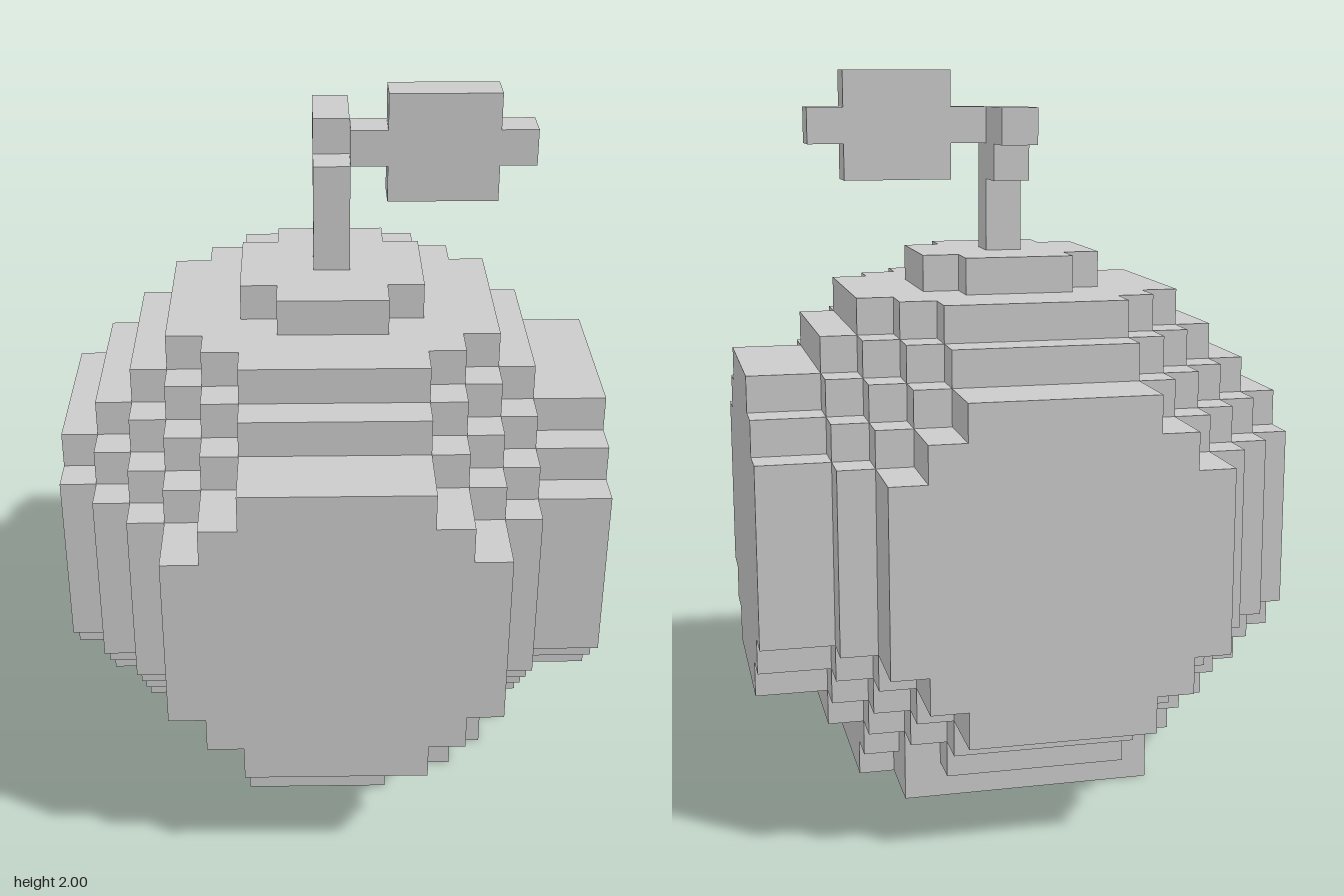
import * as THREE from 'three';
import { mergeGeometries } from 'three/addons/utils/BufferGeometryUtils.js';

const V = 0.1; // voxel size
const R = 7; // the fruit spans voxels -7..7 on each axis
const material = new THREE.MeshStandardMaterial({ color: 0xcccccc, flatShading: true });

const disc = (a, b, limit) => a * a + b * b <= limit;

// Flat underside: a lopsided disc with a few chipped corners
function inBase(x, z) {
  const chipped = (x === 2 && z === 4) || (x === 4 && z === -2) || (x === -3 && z === 3);
  return disc(x, z, 20) && x >= -3 && z >= -3 && !chipped;
}

// Voxel ball whose sides are padded out to broad flat discs
function inFruit(x, y, z) {
  if (Math.max(Math.abs(x), Math.abs(y), Math.abs(z)) > R) return false;
  if (x * x + y * y + z * z <= 56 && y > -R) return true;
  if (y === -R) return inBase(x, z);
  if (Math.abs(z) === R) return disc(x, y, 20);
  if (x === R) return disc(y, z, 20);
  if (x === -R) return disc(y, z, 13);
  return false;
}

// Builds only the exposed squares of a voxel solid
function voxelSurface(inside) {
  const dirs = [[1, 0, 0], [-1, 0, 0], [0, 1, 0], [0, -1, 0], [0, 0, 1], [0, 0, -1]];
  const sides = dirs.map((d) => {
    const n = new THREE.Vector3(...d);
    const q = new THREE.Quaternion().setFromUnitVectors(new THREE.Vector3(0, 0, 1), n);
    const square = new THREE.PlaneGeometry(V, V).applyQuaternion(q);
    return { d, square: square.translate(n.x * V / 2, n.y * V / 2, n.z * V / 2) };
  });
  const faces = [];
  for (let x = -R; x <= R; x++) for (let y = -R; y <= R; y++) for (let z = -R; z <= R; z++) {
    if (!inside(x, y, z)) continue;
    for (const { d, square } of sides) {
      if (inside(x + d[0], y + d[1], z + d[2])) continue;
      faces.push(square.clone().translate(x * V, y * V, z * V));
    }
  }
  return mergeGeometries(faces);
}

// Box given by its lower and upper corners
function block(name, [x0, y0, z0], [x1, y1, z1]) {
  const mesh = new THREE.Mesh(new THREE.BoxGeometry(x1 - x0, y1 - y0, z1 - z0), material);
  mesh.position.set((x0 + x1) / 2, (y0 + y1) / 2, (z0 + z1) / 2);
  mesh.name = name;
  return mesh;
}

export function createModel() {
  const model = new THREE.Group();
  model.name = 'voxelFruit';

  const fruit = new THREE.Mesh(voxelSurface(inFruit), material);
  fruit.name = 'fruit';
  fruit.position.y = 0.75;
  model.add(fruit);

  // Stem steps up and towards the back
  const stem = new THREE.Group();
  stem.name = 'stem';
  stem.add(
    block('stemPost', [-0.05, 1.5, -0.05], [0.05, 1.8, 0.05]),
    block('stemBend', [-0.05, 1.7, -0.15], [0.05, 1.9, -0.05]),
    block('stemTip', [-0.05, 1.8, -0.25], [0.05, 1.9, -0.15]),
  );

  // Leaf reaches out to the model's left
  const leaf = new THREE.Group();
  leaf.name = 'leaf';
  leaf.add(
    block('leafStalk', [0.05, 1.8, -0.05], [0.15, 1.9, 0.05]),
    block('leafBlade', [0.15, 1.7, -0.05], [0.45, 2.0, 0.05]),
    block('leafTip', [0.45, 1.8, -0.05], [0.55, 1.9, 0.05]),
  );
  model.add(stem, leaf);
  return model;
}
